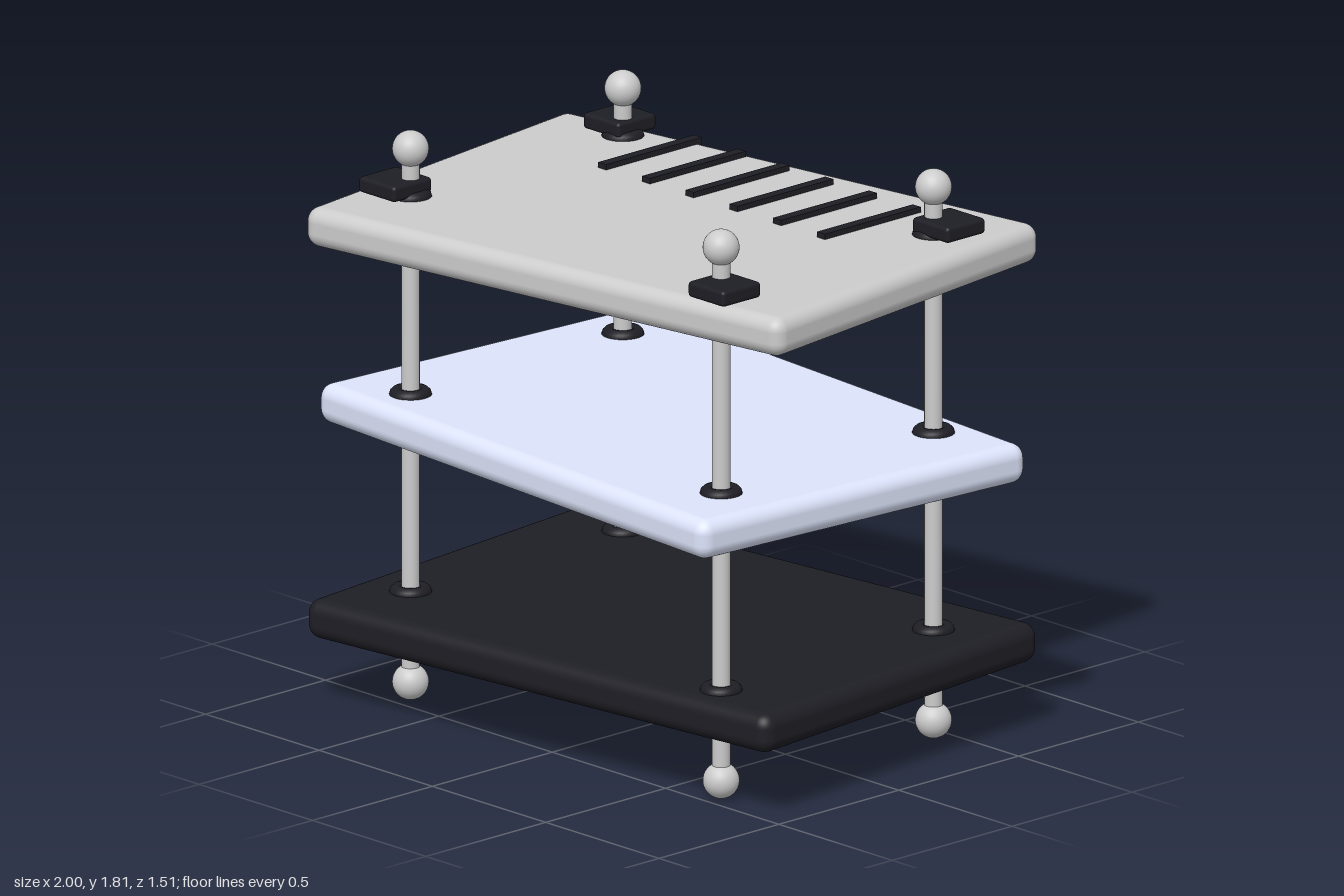
import * as THREE from 'three';
import { RoundedBoxGeometry } from 'three/addons/geometries/RoundedBoxGeometry.js';

export function createModel() {
  const model = new THREE.Group();
  const grey = new THREE.MeshStandardMaterial({ color: 0xcccccc });
  const pale = new THREE.MeshStandardMaterial({ color: 0xdde4fb });
  const dark = new THREE.MeshStandardMaterial({ color: 0x1e1e25 });

  const add = (name, geometry, material, x, y, z, parent = model) => {
    const mesh = new THREE.Mesh(geometry, material);
    mesh.name = name;
    mesh.position.set(x, y, z);
    parent.add(mesh);
    return mesh;
  };

  // Three stacked plates, each twisted by its own angle
  const plate = new RoundedBoxGeometry(1.85, 0.125, 1.28, 5, 0.045);
  const tiers = [
    ['bottomPlate', dark, 0.28, 6],
    ['middlePlate', pale, 0.907, -4],
    ['topPlate', grey, 1.537, 8],
  ];
  for (const [name, material, y, degrees] of tiers) {
    add(name, plate, material, 0, y, 0).rotation.y = THREE.MathUtils.degToRad(degrees);
  }

  // Corner posts with ball ends, a collar on each plate and a clamp block on top
  const rod = new THREE.CylinderGeometry(0.028, 0.028, 1.69, 24);
  const ball = new THREE.SphereGeometry(0.056, 32, 20);
  const collar = new THREE.TorusGeometry(0.043, 0.022, 12, 32).rotateX(Math.PI / 2);
  const block = new RoundedBoxGeometry(0.16, 0.05, 0.16, 3, 0.012);
  for (const sx of [-1, 1]) {
    for (const sz of [-1, 1]) {
      const post = new THREE.Group();
      post.name = `${sz > 0 ? 'front' : 'back'}${sx > 0 ? 'Left' : 'Right'}Post`;
      model.add(post);
      const x = sx * 0.685, z = sz * 0.443;
      add('rod', rod, grey, x, 0.903, z, post);
      add('lowerBall', ball, grey, x, 0.056, z, post);
      add('upperBall', ball, grey, x, 1.75, z, post);
      for (const tier of tiers) add('collar', collar, dark, x, tier[2] + 0.063, z, post);
      add('clampBlock', block, dark, sx * 0.726, 1.631, sz * 0.468, post);
    }
  }

  // Row of vent slats towards the back of the top plate
  const slat = new THREE.BoxGeometry(0.035, 0.03, 0.4);
  for (let i = 0; i < 6; i++) add('ventSlat', slat, dark, (i - 2.5) * 0.193, 1.602, -0.365);

  return model;
}
